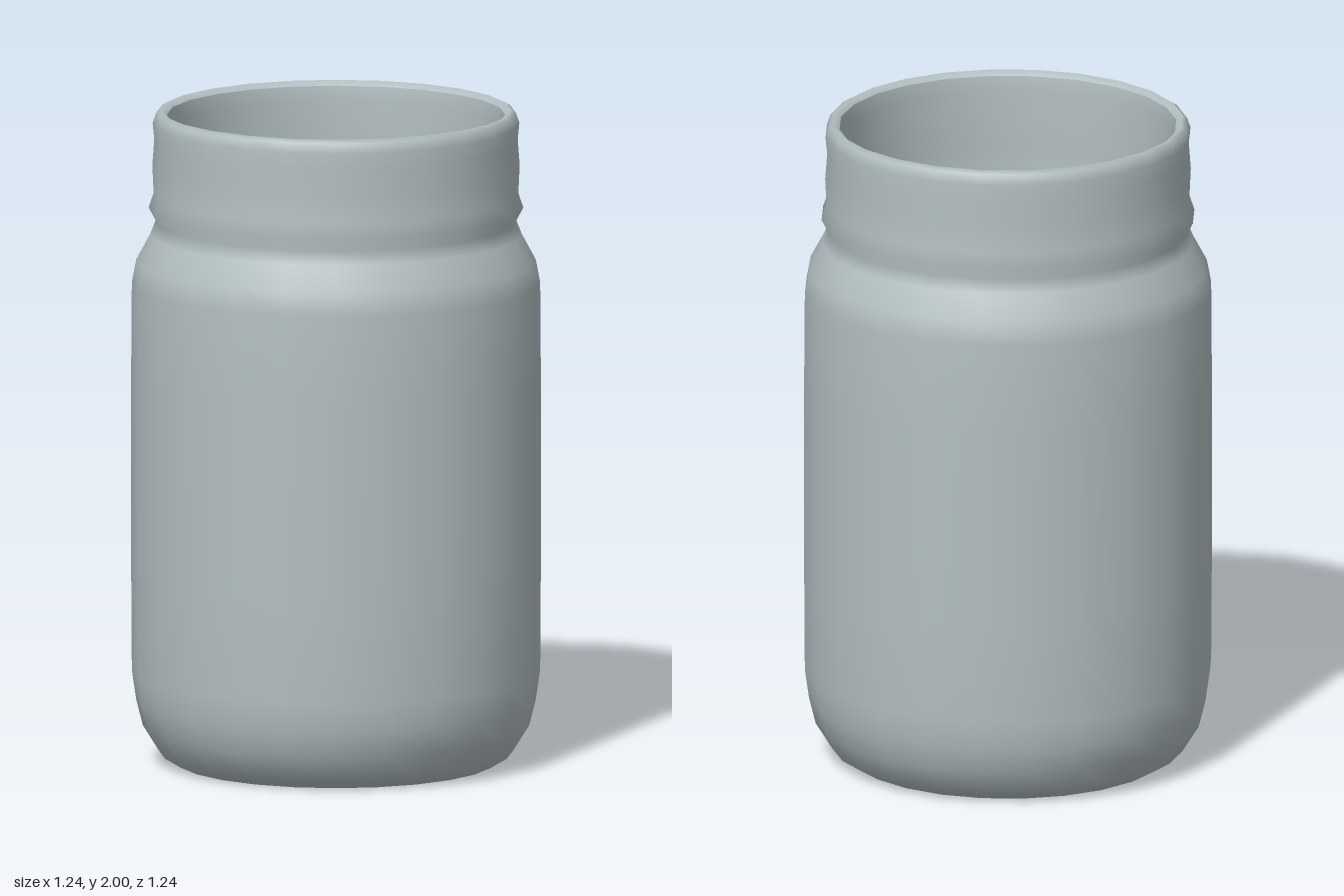
import * as THREE from 'three';

const SIDES = 24;

// Revolves a list of [radius, height] points around the y axis
function turned(name, points, material) {
  const profile = points.map(([r, y]) => new THREE.Vector2(r, y));
  const mesh = new THREE.Mesh(new THREE.LatheGeometry(profile, SIDES), material);
  mesh.name = name;
  return mesh;
}

export function createModel() {
  const jar = new THREE.Group();
  jar.name = 'jar';
  const glass = new THREE.MeshStandardMaterial({ color: 0xb3bfc2 });
  glass.name = 'pale grey glass';

  // Outer wall: rounded foot, straight body, shoulder, neck bead, threaded neck
  jar.add(turned('outerWall', [
    [0.485, 0], [0.535, 0.03], [0.585, 0.11], [0.605, 0.19], [0.618, 0.28],
    [0.62, 0.6], [0.62, 1.2], [0.618, 1.47], [0.605, 1.54], [0.562, 1.62],
    [0.546, 1.66], [0.567, 1.7], [0.552, 1.745], [0.556, 1.83],
    [0.55, 1.91], [0.555, 1.96], [0.545, 1.99], [0.53, 2], [0.512, 1.985],
  ], glass));

  // Inner wall: from the rim down to the floor, following the outside
  jar.add(turned('innerWall', [
    [0.512, 1.985], [0.506, 1.94], [0.506, 1.76], [0.51, 1.7], [0.504, 1.66],
    [0.525, 1.6], [0.56, 1.52], [0.572, 1.45], [0.573, 0.6], [0.57, 0.28],
    [0.545, 0.14], [0.49, 0.07], [0.4, 0.06], [0, 0.06],
  ], glass));

  // Shallow recess under the base
  jar.add(turned('base', [[0, 0.025], [0.42, 0.022], [0.46, 0.01], [0.485, 0]], glass));

  return jar;
}
